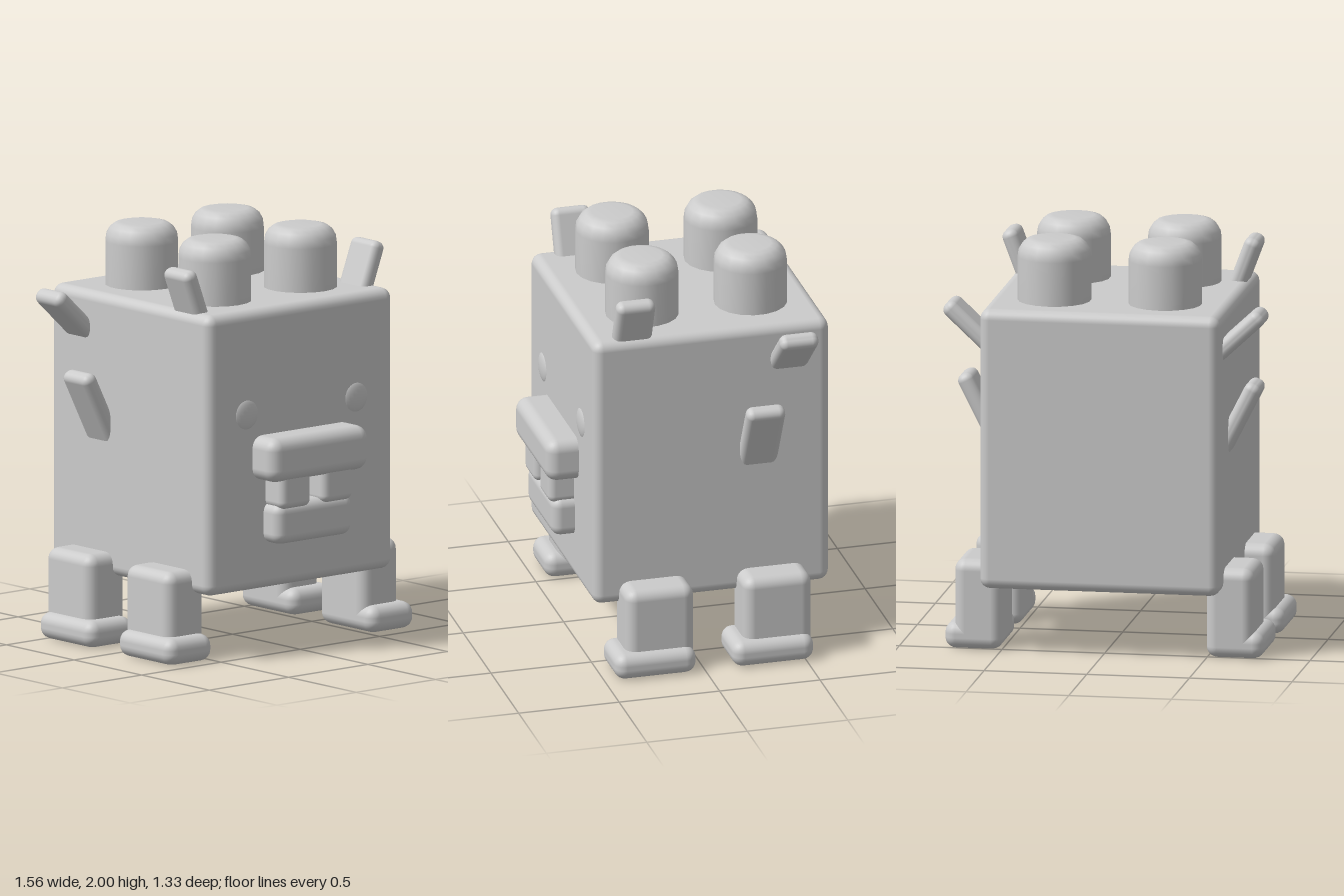
import * as THREE from 'three';
import { RoundedBoxGeometry } from 'three/addons/geometries/RoundedBoxGeometry.js';

const material = new THREE.MeshStandardMaterial({ color: 0xcccccc });

export function createModel() {
  const model = new THREE.Group();

  function add(name, geometry, x, y, z) {
    const mesh = new THREE.Mesh(geometry, material);
    mesh.name = name;
    mesh.position.set(x, y, z);
    model.add(mesh);
    return mesh;
  }

  // Rounded box given by its extents on each axis
  function block(name, [x0, x1], [y0, y1], [z0, z1], radius) {
    const geometry = new RoundedBoxGeometry(x1 - x0, y1 - y0, z1 - z0, 3, radius);
    return add(name, geometry, (x0 + x1) / 2, (y0 + y1) / 2, (z0 + z1) / 2);
  }

  // Extents mirrored to the given side
  const span = (side, a, b) => (side > 0 ? [a, b] : [-b, -a]);

  block('body', [-0.585, 0.585], [0.325, 1.695], [-0.665, 0.51], 0.05);

  // Round studs with softened rims
  const studProfile = [
    [0.177, 0], [0.177, 0.25], [0.172, 0.285], [0.155, 0.315],
    [0.13, 0.335], [0.1, 0.342], [0, 0.342],
  ].map(([r, y]) => new THREE.Vector2(r, y));
  const studGeometry = new THREE.LatheGeometry(studProfile, 18);
  for (const x of [-0.27, 0.27])
    for (const z of [-0.355, 0.185]) add('stud', studGeometry, x, 1.658, z);

  // Mouth
  block('upperLip', [-0.31, 0.31], [0.865, 1.08], [0.42, 0.665], 0.06);
  block('lowerLip', [-0.24, 0.24], [0.55, 0.75], [0.42, 0.62], 0.05);

  // Spikes: side-view centre z, tip centre, lean from vertical, length
  const spikes = [
    { name: 'frontSpike', z: 0.305, tip: [0.6, 1.9], lean: 0.36, length: 0.36 },
    { name: 'rearSpike', z: -0.465, tip: [0.768, 1.69], lean: 0.82, length: 0.4 },
    { name: 'sideSpike', z: -0.312, tip: [0.712, 1.318], lean: 0.47, length: 0.42 },
  ];

  for (const side of [-1, 1]) {
    const eye = add('eye', new THREE.SphereGeometry(0.078, 20, 14), side * 0.345, 1.19, 0.5);
    eye.scale.z = 0.3;

    block('tooth', span(side, 0.037, 0.227), [0.725, 0.92], [0.45, 0.635], 0.035);

    // Legs and feet, front and rear
    for (const [end, z] of [['front', 0.045], ['rear', -0.54]]) {
      block(end + 'Leg', span(side, 0.495, 0.73), [0.02, 0.44], [z, z + 0.34], 0.055);
      block(end + 'Foot', span(side, 0.495, 0.778), [0.0, 0.13], [z, z + 0.405], 0.055);
    }

    // Flat spikes leaning outward
    for (const { name, z, tip, lean, length } of spikes) {
      const x = tip[0] - Math.sin(lean) * length / 2;
      const y = tip[1] - Math.cos(lean) * length / 2;
      const spike = add(name, new RoundedBoxGeometry(0.08, length, 0.193, 3, 0.035), side * x, y, z);
      spike.rotation.z = -side * lean;
    }
  }

  return model;
}
